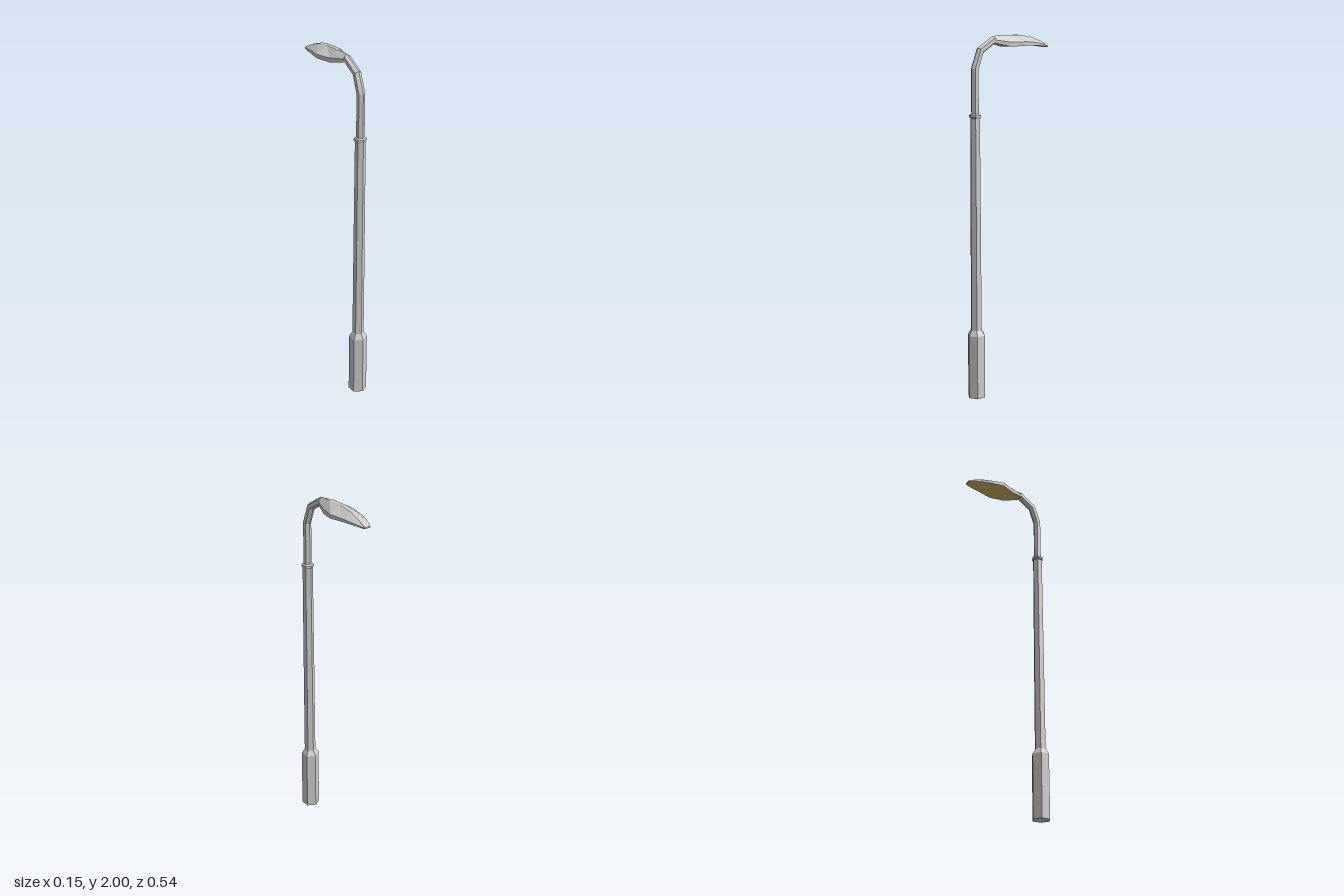
import * as THREE from 'three';

const grey = new THREE.MeshStandardMaterial({ color: 0xcccccc, flatShading: true, side: THREE.DoubleSide });
const amber = new THREE.MeshStandardMaterial({ color: 0xd8b868, flatShading: true, side: THREE.DoubleSide });
const POLE_Z = 0.222;

// Skin a list of cross-sections (arrays of [x, y, z]), optionally closing each ring and capping the ends
function loft(rings, closed, caps) {
  const n = rings[0].length;
  const index = [];
  for (let i = 0; i < rings.length - 1; i++) {
    for (let j = 0; j < (closed ? n : n - 1); j++) {
      const k = (j + 1) % n;
      const a = i * n + j, b = i * n + k, c = b + n, d = a + n;
      index.push(a, b, c, a, c, d);
    }
  }
  if (caps) {
    const last = (rings.length - 1) * n;
    for (let j = 1; j < n - 1; j++) {
      index.push(0, j + 1, j, last, last + j, last + j + 1);
    }
  }
  const geo = new THREE.BufferGeometry();
  geo.setAttribute('position', new THREE.Float32BufferAttribute(rings.flat(2), 3));
  geo.setIndex(index);
  geo.computeVertexNormals();
  return geo;
}

function add(group, name, geo, material) {
  const mesh = new THREE.Mesh(geo, material);
  mesh.name = name;
  group.add(mesh);
  return mesh;
}

// Six-sided turned part, with a corner facing forward
function hexTurned(points) {
  return new THREE.LatheGeometry(points.map(([r, y]) => new THREE.Vector2(r, y)), 6);
}

export function createModel() {
  const model = new THREE.Group();
  model.name = 'streetLamp';

  // Upright parts
  const upright = {
    base: [[0, 0], [0.051, 0], [0.051, 0.36], [0.032, 0.39]],
    pole: [[0.032, 0.39], [0.0305, 0.95], [0.028, 1.565]],
    collar: [[0.028, 1.563], [0.034, 1.57], [0.034, 1.58], [0.022, 1.588]],
  };
  for (const [name, points] of Object.entries(upright)) {
    add(model, name, hexTurned(points), grey).position.z = POLE_Z;
  }

  // Curved arm: height, depth and tilt of each hexagonal section
  const armPath = [
    [1.585, POLE_Z, 0],
    [1.822, POLE_Z, 0.17],
    [1.92, 0.186, 0.7],
    [1.975, 0.095, 1.25],
  ];
  const armRings = armPath.map(([y, z, tilt]) => {
    const ring = [];
    for (let i = 0; i < 6; i++) {
      const t = (i * Math.PI) / 3;
      const out = 0.022 * Math.cos(t);
      ring.push([0.022 * Math.sin(t), y + out * Math.sin(tilt), z + out * Math.cos(tilt)]);
    }
    return ring;
  });
  add(model, 'arm', loft(armRings, true, true), grey);

  // Lamp head sections: z, half width, ridge half width, ridge height, rim top, rim bottom
  const head = [
    [0.098, 0.02, 0.001, 1.994, 1.974, 1.957],
    [0.065, 0.032, 0.002, 1.998, 1.969, 1.949],
    [0.015, 0.051, 0.012, 2.0, 1.962, 1.938],
    [-0.07, 0.077, 0.012, 2.0, 1.964, 1.943],
    [-0.15, 0.059, 0.014, 1.989, 1.959, 1.943],
    [-0.215, 0.043, 0.016, 1.968, 1.95, 1.939],
    [-0.271, 0.019, 0.018, 1.939, 1.936, 1.931],
  ];
  const shell = head.map(([z, w, s, top, rim, low]) => [
    [-w, low, z], [-w, rim, z], [-s, top, z], [s, top, z], [w, rim, z], [w, low, z],
  ]);
  add(model, 'lampHousing', loft(shell, false, true), grey);

  // Coloured underside of the head
  const lens = head.map(([z, w, , , , low]) => [[w, low, z], [-w, low, z]]);
  add(model, 'lampLens', loft(lens, false, false), amber);

  return model;
}
